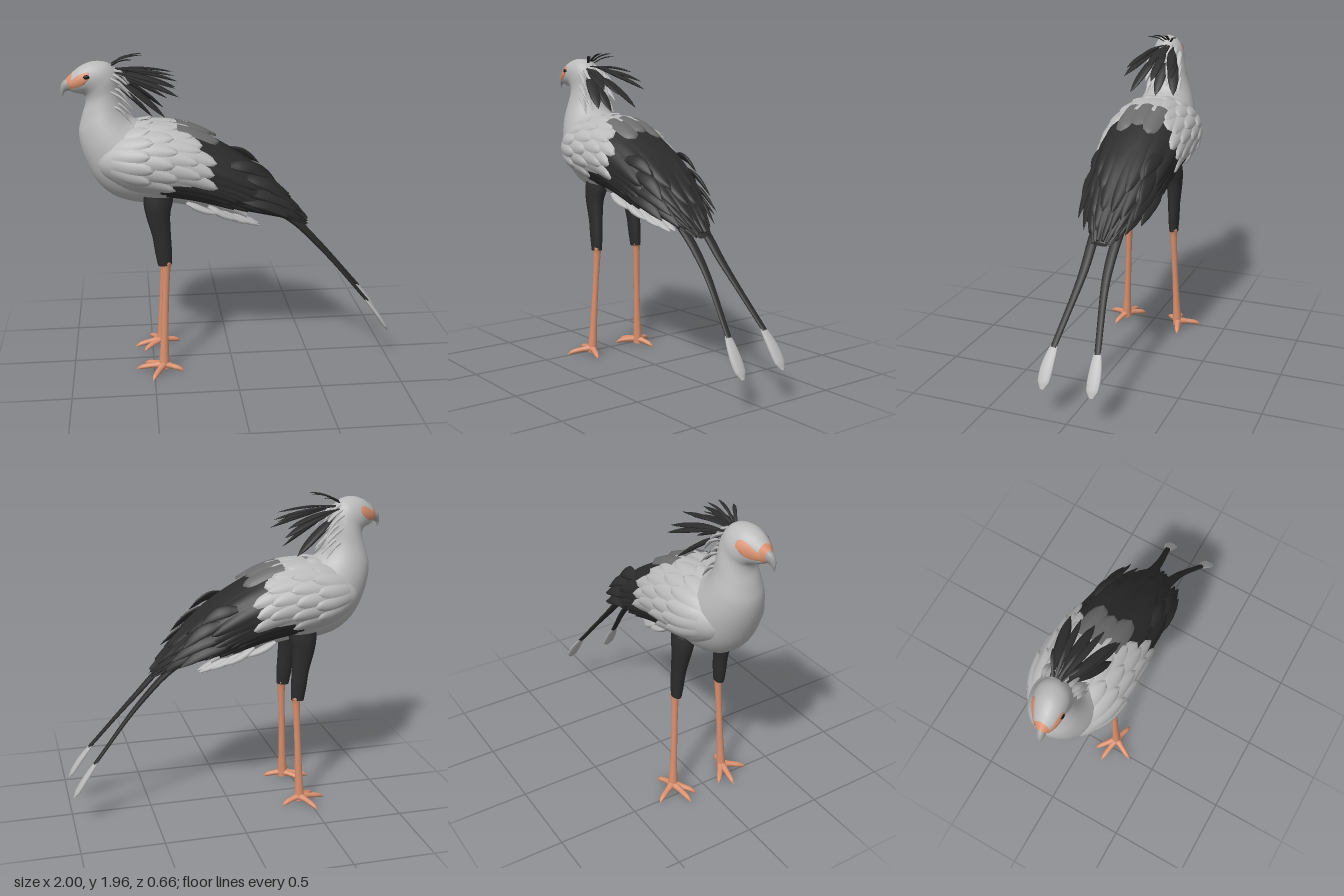
import * as THREE from 'three';
import { mergeVertices } from 'three/addons/utils/BufferGeometryUtils.js';

const V = (x, y, z) => new THREE.Vector3(x, y, z);
const lerp = THREE.MathUtils.lerp;
const paint = (name, color) => new THREE.MeshStandardMaterial({ name, color, side: THREE.DoubleSide });

// Smooth surface from a rule f(u, v), with u and v running 0..1
function grid(f, nu, nv) {
  const pos = [], idx = [];
  for (let i = 0; i <= nu; i++) for (let j = 0; j <= nv; j++) pos.push(...f(i / nu, j / nv).toArray());
  for (let i = 0; i < nu; i++) for (let j = 0; j < nv; j++) {
    const a = i * (nv + 1) + j, b = a + nv + 1;
    idx.push(a, a + 1, b, b, a + 1, b + 1);
  }
  let g = new THREE.BufferGeometry();
  g.setAttribute('position', new THREE.Float32BufferAttribute(pos, 3));
  g.setIndex(idx);
  g = mergeVertices(g, 1e-5);
  g.computeVertexNormals();
  return g;
}

// Elliptical rings: [topX, topY, bottomX, bottomY, halfWidth, z]
function rings(rows) {
  const curve = pts => new THREE.CatmullRomCurve3(pts, false, 'catmullrom', 0.5);
  const top = curve(rows.map(r => V(r[0], r[1], r[5] || 0)));
  const bottom = curve(rows.map(r => V(r[2], r[3], r[5] || 0)));
  const width = curve(rows.map(r => V(r[4], 0, 0)));
  return (u, phi, lift = 0) => {
    u = Math.min(Math.max(u, 0), 1);
    const t = top.getPoint(u), b = bottom.getPoint(u);
    const c = t.clone().add(b).multiplyScalar(0.5);
    const d = t.sub(c).multiplyScalar(Math.cos(phi));
    d.z += Math.sin(phi) * width.getPoint(u).x;
    return c.add(d.clone().setLength(d.length() + lift));
  };
}
const loft = (s, u0 = 0, u1 = 1, n = 40) => grid((u, v) => s(lerp(u0, u1, u), v * Math.PI * 2), n, 36);

// Feather lying on a ring surface, its tip raised
const covert = (s, u, phi, du, half, dphi = 0, lift = 0.018, base = 0.003) => grid((a, b) => {
  const t = b * 2 - 1, w = half * Math.sqrt(Math.max(0, 1 - a ** 4)) * (0.65 + 0.35 * a);
  return s(u + du * a, phi + dphi * a + t * w, (base + lift * a) * (1 - 0.55 * t * t));
}, 10, 6);

// Tapered sweep along a curve; flat < 1 makes a blade facing the normal n
function sweep(pts, widths, flat = 1, n = V(0, 0, 1), seg = 14) {
  const curve = new THREE.CatmullRomCurve3(pts.map(p => V(...p)));
  return grid((u, v) => {
    const p = curve.getPoint(u), t = curve.getTangent(u);
    const side = t.clone().cross(n).normalize(), up = side.clone().cross(t);
    const k = u * (widths.length - 1), i = Math.min(Math.floor(k), widths.length - 2);
    const w = lerp(widths[i], widths[i + 1], k - i), a = -v * Math.PI * 2;
    return p.addScaledVector(side, Math.cos(a) * w).addScaledVector(up, Math.sin(a) * w * flat);
  }, seg, 10);
}

export function createModel() {
  const root = new THREE.Group();
  root.name = 'longLeggedBird';
  const light = paint('pale grey plumage', 0xbababa), dark = paint('black plumage', 0x2c2c2c);
  const mid = paint('mid grey plumage', 0x6c6c6c), skin = paint('salmon skin', 0xd8906f);
  const horn = paint('grey horn', 0xa0a0a0), black = paint('eye black', 0x181614);
  const add = (name, geo, mat, parent = root) => {
    const m = new THREE.Mesh(geo, mat);
    m.name = name;
    parent.add(m);
    return m;
  };
  const group = name => {
    const g = new THREE.Group();
    g.name = name;
    root.add(g);
    return g;
  };

  // Head, neck, chest and belly, with bare skin at the base of the beak
  const body = rings([
    [-0.962, 1.842, -0.958, 1.775, 0.026, 0.05], [-0.92, 1.878, -0.94, 1.762, 0.05, 0.042],
    [-0.87, 1.912, -0.92, 1.752, 0.07, 0.036], [-0.8, 1.932, -0.895, 1.745, 0.088, 0.026],
    [-0.72, 1.918, -0.875, 1.738, 0.1, 0.015], [-0.668, 1.86, -0.862, 1.72, 0.103, 0.008],
    [-0.655, 1.78, -0.862, 1.68, 0.11], [-0.645, 1.71, -0.888, 1.6, 0.125],
    [-0.63, 1.65, -0.908, 1.5, 0.15], [-0.6, 1.6, -0.885, 1.37, 0.18],
    [-0.55, 1.57, -0.82, 1.22, 0.205], [-0.5, 1.55, -0.72, 1.12, 0.21],
    [-0.42, 1.53, -0.58, 1.07, 0.205], [-0.3, 1.46, -0.4, 1.06, 0.18],
    [-0.16, 1.3, -0.2, 1.02, 0.14], [-0.02, 1.12, -0.03, 0.972, 0.08], [0.1, 0.965, 0.1, 0.935, 0.015]]);
  add('body', loft(body, 0.05, 1, 90), light);
  add('beakBaseSkin', loft(body, 0, 0.05, 6), skin);

  // Folded wings and back, pale in front and black behind
  const mantle = rings([
    [-0.8, 1.42, -0.82, 1.3, 0.14], [-0.74, 1.5, -0.76, 1.22, 0.21], [-0.62, 1.55, -0.62, 1.14, 0.267],
    [-0.45, 1.56, -0.45, 1.105, 0.277], [-0.25, 1.52, -0.25, 1.075, 0.265], [-0.08, 1.435, -0.08, 1.035, 0.243],
    [0.1, 1.31, 0.05, 1.0, 0.218], [0.25, 1.17, 0.18, 0.97, 0.175], [0.38, 1.03, 0.32, 0.935, 0.11],
    [0.475, 0.91, 0.465, 0.885, 0.035]]);
  add('wingFront', loft(mantle, 0, 0.46), light);
  add('wingRear', loft(mantle, 0.46, 1), dark);

  const palePlumes = group('paleCoverts'), darkPlumes = group('flightFeathers'), greyPlumes = group('backPatch');
  // Mid grey patch across the back with a scalloped rear edge
  [-0.34, 0, 0.34].forEach(phi =>
    add('backFeather', covert(mantle, 0.4, phi, phi ? 0.155 : 0.13, 0.27, 0, 0.006, 0.026), mid, greyPlumes));
  for (const side of [1, -1]) {
    // Pale coverts, reaching further back along the flank than on the spine
    [0.14, 0.22, 0.3, 0.36].forEach((u, r) => {
      for (let k = 0; k < 6; k++) {
        const phi = 0.18 + 0.34 * k + (r % 2) * 0.17;
        const end = 0.44 + 0.12 * THREE.MathUtils.smoothstep(phi, 0.3, 1.1);
        if (r > 1 && phi > 1.75 || r > 2 && phi < 0.6) continue;
        const du = Math.min(0.18, end - u) - 0.012 * (k % 2);
        add('covert', covert(mantle, u, side * phi, du, 0.23, side * 0.04, 0.022), light, palePlumes);
      }
    });
    // Black flight feathers
    [0.46, 0.54, 0.62, 0.7, 0.78].forEach((u, r) => {
      for (let k = 0; k < 4; k++) {
        const phi = 0.3 + 0.5 * k + (r % 2) * 0.22;
        if (r === 0 && (phi < 0.7 || phi > 1.4)) continue;
        add('flightFeather', covert(mantle, u + 0.015 * (k % 2), side * phi, 0.25, 0.27, -side * 0.1, 0.028, 0), dark, darkPlumes);
      }
    });
    // Black lower wing edge reaching forward
    [[0.34, 2.3], [0.36, 2.5], [0.38, 2.12], [0.43, 2.4], [0.44, 2.0], [0.5, 1.85], [0.5, 2.2]].forEach(([u, phi]) =>
      add('lowerFeather', covert(mantle, u, side * phi, 0.26, 0.2, -side * 0.12, 0.026), dark, darkPlumes));
    // Free wing tips
    [[-0.02, 1.33, 0.2, 0.2, 1.24, 0.17], [0.08, 1.25, 0.19, 0.32, 1.1, 0.185], [0.08, 1.17, 0.21, 0.39, 1.02, 0.17],
      [0.12, 1.12, 0.2, 0.42, 0.95, 0.13], [0.05, 1.12, 0.22, 0.34, 0.99, 0.2], [0.2, 1.06, 0.09, 0.485, 0.89, 0.035]
    ].forEach(([x, y, z, X, Y, Z]) => add('wingTip', sweep(
      [[x, y, side * z], [(x + X) / 2, (y + Y) / 2 + 0.025, side * (z + Z) / 2], [X, Y, side * Z]],
      [0.02, 0.04, 0.042, 0.03, 0], 0.3, V(0.4, 0.6, side * 0.7).normalize()), dark, darkPlumes));
    // Shaggy pale feathers under the tail
    [[-0.15, 1.05, 0.1, 0.04, 0.945], [-0.08, 1.01, 0.055, 0.12, 0.91], [-0.02, 0.99, 0.022, 0.19, 0.885], [-0.28, 1.08, 0.12, -0.06, 0.995]]
      .forEach(([x, y, z, X, Y]) => add('ventFeather', sweep(
        [[x, y, side * z], [(x + X) / 2, (y + Y) / 2 - 0.01, side * z], [X, Y, side * z * 0.9]],
        [0.02, 0.04, 0.038, 0.028, 0], 0.5, V(0, 1, 0)), light, palePlumes));
    // Nape ruff
    for (let k = 0; k < 10; k++) {
      const z = side * (0.025 + 0.03 * (k % 3)), y = 1.89 - 0.026 * k;
      add('napeFeather', sweep([[-0.71, y, z], [-0.65, y - 0.035, z * 1.15], [-0.595 + 0.02 * (k % 2), y - 0.11, z * 1.3]],
        [0.012, 0.02, 0.016, 0], 0.5, V(1, 0.3, 0).normalize()), light, palePlumes);
    }
  }

  // Crest of loose spatulate feathers: root height, tip x, y, z and half width
  const crest = group('crest');
  const plume = (y, X, Y, Z, w) => add('crestFeather', sweep([0, 0.35, 0.7, 1].map(a => [
    lerp(-0.7, X, a), lerp(y, Y, a) + 0.05 * a * (1 - a), lerp(Z * 0.25, Z, a)]),
    [0.008, 0.01, w * 0.75, w, w, w * 0.9, w * 0.6, 0.002], 0.36, V(0.45, 0.88, Z * 1.5).normalize(), 21), dark, crest);
  plume(1.885, -0.32, 1.8, 0, 0.03);
  plume(1.85, -0.38, 1.7, 0, 0.03);
  plume(1.8, -0.47, 1.59, 0, 0.034);
  for (const s of [1, -1]) [[1.915, -0.525, 1.963, 0.035, 0.011], [1.905, -0.58, 1.945, 0.095, 0.011], [1.88, -0.34, 1.845, 0.07, 0.02],
    [1.87, -0.32, 1.735, 0.155, 0.033], [1.85, -0.4, 1.615, 0.145, 0.036], [1.87, -0.34, 1.785, 0.145, 0.028]]
    .forEach(([y, X, Y, Z, w]) => plume(y, X, Y, s * Z, w));

  // Bare cheeks, eyes and hooked beak
  const face = group('face');
  for (const s of [1, -1]) {
    add('cheekSkin', covert(body, 0.035, s * 1.78, 0.17, 0.62, -s * 0.28, 0, 0.006), skin, face);
    const eye = add('eye', new THREE.SphereGeometry(1, 20, 12), black, face);
    eye.position.set(-0.845, 1.852, 0.033 + s * 0.08);
    eye.scale.set(0.018, 0.014, 0.011);
  }
  add('beak', loft(rings([
    [-0.992, 1.73, -0.99, 1.728, 0.002, 0.062], [-1, 1.77, -0.98, 1.756, 0.011, 0.06], [-0.992, 1.81, -0.966, 1.767, 0.019, 0.057],
    [-0.966, 1.836, -0.948, 1.768, 0.027, 0.052], [-0.92, 1.848, -0.91, 1.778, 0.034, 0.045]]), 0, 1, 20), horn, face);

  // Long tail streamers with pale paddles
  for (const s of [1, -1]) {
    const n = V(0.75, 0.65, 0).normalize();
    add('tailStreamer', sweep([[0.15, 1.04, s * 0.05], [0.35, 0.95, s * 0.07], [0.57, 0.735, s * 0.075], [0.86, 0.395, s * 0.135]],
      [0.03, 0.04, 0.034, 0.03, 0.022, 0.019], 0.5, n, 24), dark);
    add('tailPaddle', sweep([[0.845, 0.41, s * 0.132], [0.92, 0.31, s * 0.145], [0.995, 0.195, s * 0.15]],
      [0.02, 0.029, 0.035, 0.039, 0.042, 0.042, 0.038, 0.012], 0.32, n, 21), light);
  }

  // Legs, thighs and feet
  for (const s of [1, -1]) {
    const leg = group(s > 0 ? 'leftLeg' : 'rightLeg');
    const at = (x, y, z) => [x, y, s * z];
    add('thigh', sweep([at(-0.45, 1.13, 0.13), at(-0.455, 1.04, 0.143), at(-0.435, 0.88, 0.15), at(-0.42, 0.7, 0.155)],
      [0.09, 0.087, 0.077, 0.065, 0.055, 0.052, 0.042], 0.68), dark, leg);
    add('shank', sweep([at(-0.41, 0.735, 0.155), at(-0.412, 0.68, 0.157), at(-0.425, 0.4, 0.168), at(-0.44, 0.02, 0.185)],
      [0.025, 0.032, 0.027, 0.023, 0.021, 0.022, 0.025, 0.034], 0.9, undefined, 24), skin, leg);
    // Toes running out into claws
    [[-0.58, 0.165], [-0.5, 0.3], [-0.535, 0.105], [-0.34, 0.215]].forEach(([x, z]) => {
      const px = (x + 0.44) / 0.14, pz = (z - 0.185) / 0.14;
      add('toe', sweep([at(-0.44, 0.045, 0.185), at((x - 0.44) / 2, 0.036, (z + 0.185) / 2), at(x, 0.022, z),
        at(x + px * 0.033, 0.006, z + pz * 0.033)], [0.028, 0.023, 0.018, 0.018, 0.015, 0.01, 0.001], 0.9, V(0, 1, 0)), skin, leg);
    });
  }
  return root;
}
